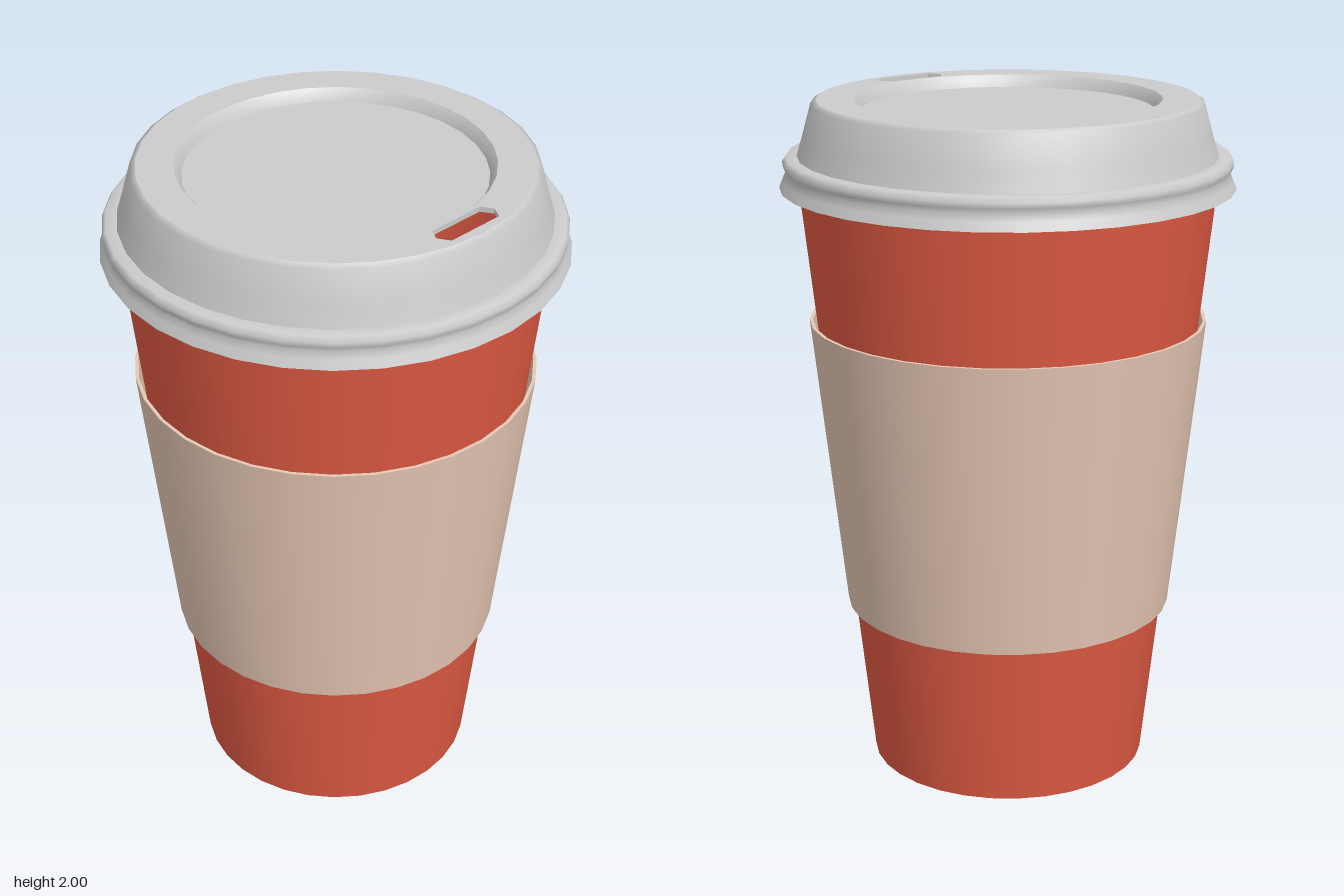
import * as THREE from 'three';

const SIDES = 32;
const material = (color) => new THREE.MeshStandardMaterial({ color, side: THREE.DoubleSide });

// Revolve each [radius, height] run on its own, so edges between runs stay sharp
function revolve(name, mat, ...runs) {
  const part = new THREE.Group();
  part.name = name;
  for (const run of runs) {
    const points = run.map(([r, y]) => new THREE.Vector2(r, y));
    const mesh = new THREE.Mesh(new THREE.LatheGeometry(points, SIDES), mat);
    mesh.name = name + 'Surface';
    part.add(mesh);
  }
  return part;
}

// Flat ring with the drinking slot cut through its front
function lidTop(mat, inner, outer, y, thickness) {
  const circle = (r) => Array.from({ length: SIDES }, (_, i) => {
    const a = (i / SIDES) * Math.PI * 2;
    return new THREE.Vector2(r * Math.cos(a), r * Math.sin(a));
  });
  const ring = new THREE.Shape(circle(outer));
  const slot = [[-0.11, -0.48], [-0.09, -0.515], [0.09, -0.515], [0.11, -0.48], [0.09, -0.446], [-0.09, -0.446]];
  ring.holes.push(new THREE.Path(circle(inner)));
  ring.holes.push(new THREE.Path(slot.map(([x, z]) => new THREE.Vector2(x, z))));
  const geometry = new THREE.ExtrudeGeometry(ring, { depth: thickness, bevelEnabled: false });
  geometry.rotateX(-Math.PI / 2).translate(0, y - thickness, 0);
  const mesh = new THREE.Mesh(geometry, mat);
  mesh.name = 'lidTopWithDrinkingSlot';
  return mesh;
}

export function createModel() {
  const model = new THREE.Group();
  model.name = 'takeawayCup';
  const red = material(0xdf5a43);
  const tan = material(0xe6c7b4);
  const grey = material(0xcccccc);

  // Tapered cup with a flat floor
  model.add(revolve('cup', red,
    [[0, 0], [0.41, 0]],
    [[0.41, 0], [0.6, 1.75], [0.607, 1.83]]));

  // Thin sleeve around the middle
  model.add(revolve('sleeve', tan,
    [[0.484, 0.49], [0.579, 1.36]],
    [[0.579, 1.36], [0.569, 1.36]],
    [[0.569, 1.36], [0.474, 0.49]],
    [[0.474, 0.49], [0.484, 0.49]]));

  // Lid: recessed middle, rounded shoulder, sloping wall and flared rim
  const lid = new THREE.Group();
  lid.name = 'lid';
  lid.add(revolve('lidRecess', grey,
    [[0, 1.965], [0.42, 1.965]],
    [[0.42, 1.965], [0.428, 1.985], [0.44, 2]]));
  lid.add(lidTop(grey, 0.44, 0.545, 2, 0.015));
  lid.add(revolve('lidWall', grey,
    [[0.545, 2], [0.56, 1.99], [0.585, 1.9], [0.603, 1.84]]));
  lid.add(revolve('lidRim', grey,
    [[0.603, 1.84], [0.635, 1.84], [0.645, 1.825], [0.643, 1.81], [0.636, 1.795], [0.645, 1.775], [0.655, 1.75]],
    [[0.655, 1.75], [0.645, 1.75], [0.628, 1.79], [0.612, 1.83]]));
  model.add(lid);
  return model;
}
